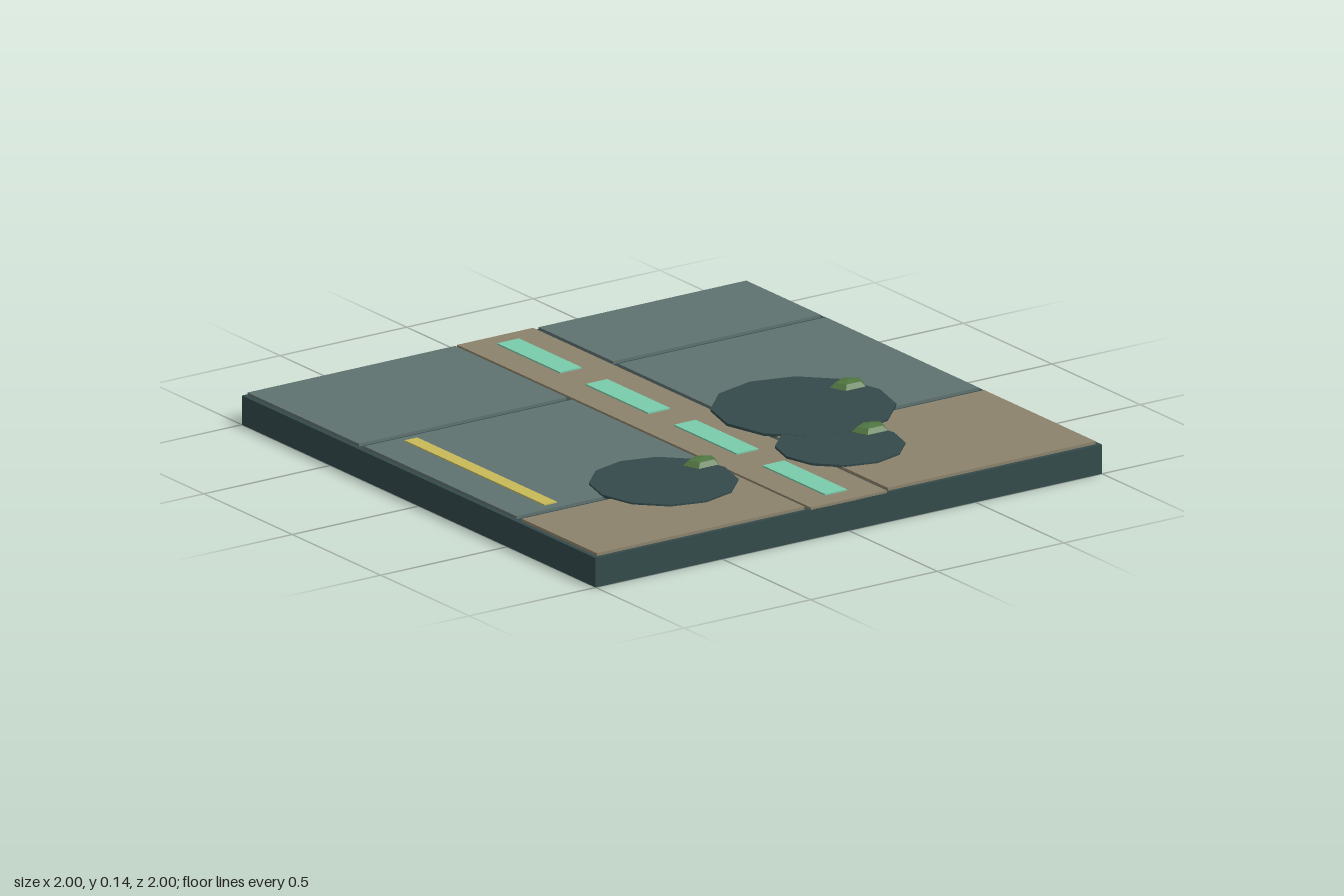
import * as THREE from 'three';

const material = (name, color) => {
  const m = new THREE.MeshStandardMaterial({ color });
  m.name = name;
  return m;
};

export function createModel() {
  const group = new THREE.Group();
  const darkSlate = material('dark slate', 0x344a4b);
  const slabGrey = material('slab grey', 0x5f726f);
  const sand = material('sand', 0x8b826b);
  const mint = material('mint', 0x7acbab);
  const yellow = material('yellow', 0xc8b958);
  const moss = material('moss green', 0x4f7440);

  const add = (name, geometry, mat, x, y, z) => {
    const mesh = new THREE.Mesh(geometry, mat);
    mesh.name = name;
    mesh.position.set(x, y, z);
    group.add(mesh);
    return mesh;
  };
  // Box given by its x, y and z ranges
  const block = (name, mat, x0, x1, y0, y1, z0, z1) =>
    add(name, new THREE.BoxGeometry(x1 - x0, y1 - y0, z1 - z0), mat,
      (x0 + x1) / 2, (y0 + y1) / 2, (z0 + z1) / 2);

  // Ground tile
  block('base', darkSlate, -1, 1, 0, 0.1, -1, 1);

  // Paving slabs on both sides, separated by narrow joints
  const slabs = [
    [-0.985, -0.165, -0.99, -0.36, slabGrey],
    [-0.985, -0.165, -0.33, 0.53, slabGrey],
    [-0.985, -0.165, 0.56, 0.985, sand],
    [0.165, 0.985, -0.99, -0.57, slabGrey],
    [0.165, 0.985, -0.54, 0.325, slabGrey],
    [0.165, 0.985, 0.355, 0.985, sand],
  ];
  for (const [x0, x1, z0, z1, mat] of slabs) block('pavingSlab', mat, x0, x1, 0.098, 0.11, z0, z1);

  // Central path with dashes
  block('path', sand, -0.15, 0.15, 0.098, 0.108, -1, 1);
  for (const z of [-0.75, -0.25, 0.25, 0.75])
    block('pathDash', mint, -0.043, 0.043, 0.107, 0.113, z - 0.177, z + 0.177);

  // Painted line on the left-hand slab
  block('yellowLine', yellow, -0.85, -0.8, 0.109, 0.114, -0.295, 0.495);

  // Dark twelve-sided patches
  for (const [x, z, r, top] of [[-0.4, 0.525, 0.243, 0.116], [0.4, 0.17, 0.302, 0.117], [0.28, 0.55, 0.212, 0.116]])
    add('darkPatch', new THREE.CylinderGeometry(r, r, top - 0.106, 12), darkSlate, x, (top + 0.106) / 2, z);

  // Flattened moss tufts, one corner of each pentagon pointing back
  for (const [x, z] of [[-0.2, 0.455], [0.64, 0.083], [0.443, 0.488]]) {
    const geometry = new THREE.SphereGeometry(1, 5, 4);
    geometry.rotateY(-Math.PI / 2);
    geometry.scale(0.067, 0.023, 0.05);
    const flat = geometry.toNonIndexed();
    flat.computeVertexNormals();
    add('mossTuft', flat, moss, x, 0.117, z);
  }
  return group;
}
